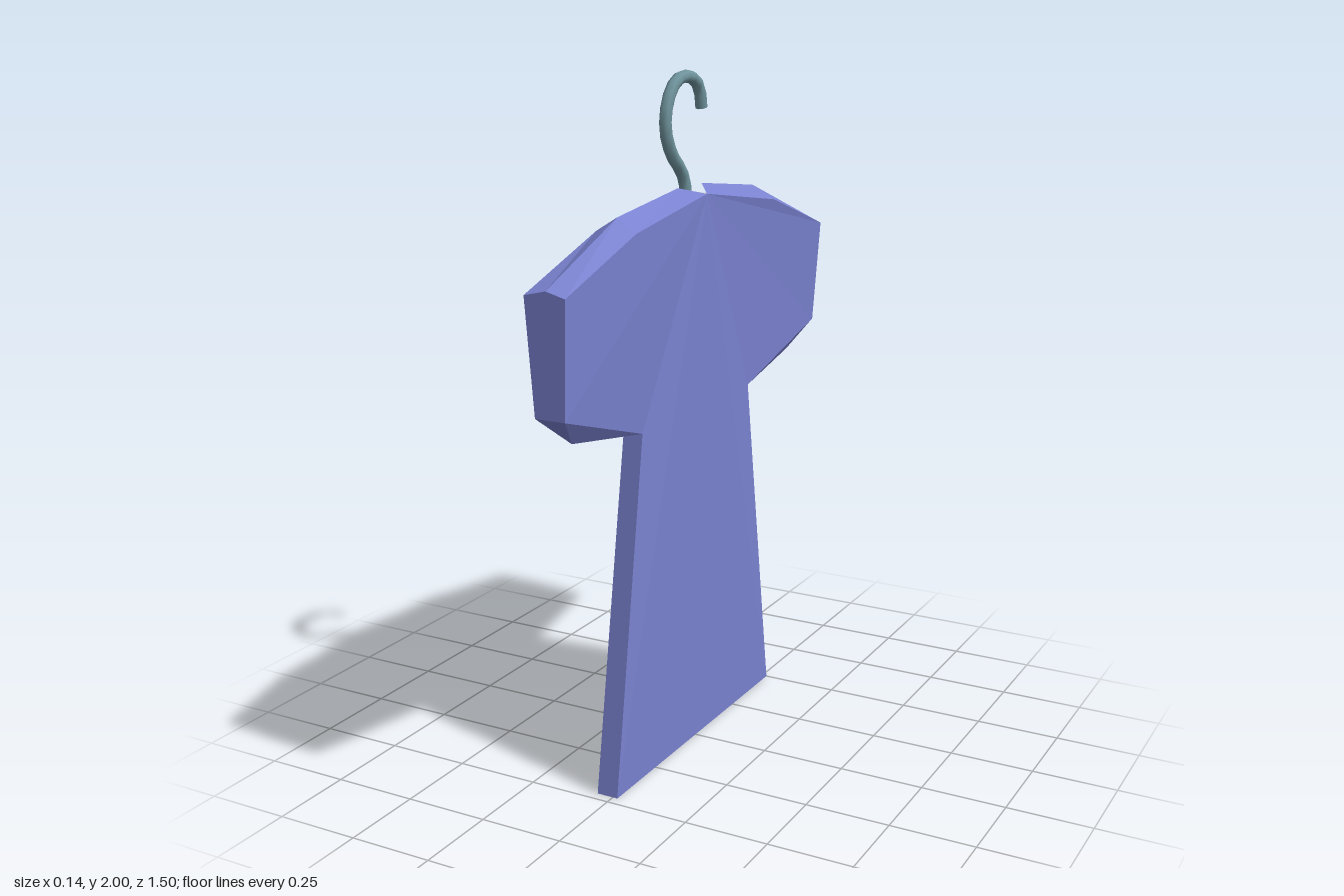
import * as THREE from 'three';

const mat = (color) => new THREE.MeshStandardMaterial({ color, flatShading: true, side: THREE.DoubleSide });

// One half of the shirt: named corners, then polygons as fans of corners
function shirtHalf(s) {
  const ax = s > 0 ? 0.052 : 0.068, hem = s > 0 ? 0.47 : 0.5;
  const arm = s > 0 ? 0.32 : 0.33;
  const P = {
    // plain side
    A0: [0.05, 1.66, 0], A1: [ax, 1.6, 0.4], A2: [ax, 1.485, 0.75], A3: [0.045, 1.17, 0.75],
    A4: [0.02, 1.035, arm], A5: [0.015, 0, hem], A6: [0.015, 0, 0],
    // shoulder ridge and sleeve underside
    R0: [-0.005, 1.68, 0.07], R1: [-0.005, 1.64, 0.4], R2: [-0.005, 1.5, 0.75], U: [0, 1.085, 0.65],
    // side with the V neck
    N: [-0.062, 1.62, 0.25], V: [-0.06, 1.44, 0], B1: [-0.07, 1.6, 0.4], B2: [-0.07, 1.485, 0.75],
    B3: [-0.045, 1.17, 0.75], B4: [-0.04, 1.035, arm], B5: [-0.05, 0, hem], B6: [-0.05, 0, 0],
  };
  const faces = [
    'A0 A1 A2 A3 A4 A5 A6', 'V B6 B5 B4 B3 B2 B1 N',   // large faces
    'A1 A0 R0 R1', 'A2 A1 R1 R2', 'R1 R0 N B1', 'R2 R1 B1 B2', // shoulders
    'A3 A2 R2 B2 B3',                                  // sleeve end
    'B3 U A3', 'A3 U A4', 'B3 B4 U', 'U B4 A4',        // sleeve underside
    'A4 B4 B5 A5', 'A5 B5 B6 A6',                      // body side, hem
    'N A0 V',                                          // neck fold
  ];
  const pos = [];
  for (const f of faces) {
    const c = f.split(' ').map((k) => P[k]);
    for (let i = 1; i < c.length - 1; i++) {
      const tri = s > 0 ? [c[0], c[i], c[i + 1]] : [c[0], c[i + 1], c[i]];
      for (const [x, y, z] of tri) pos.push(x, y, z * s);
    }
  }
  const g = new THREE.BufferGeometry();
  g.setAttribute('position', new THREE.Float32BufferAttribute(pos, 3));
  g.computeVertexNormals();
  return g;
}

// Shape drawn in (z, y), extruded along x
function hangerBar() {
  const top = [[-0.3, 1.595], [-0.25, 1.618], [-0.12, 1.646], [0, 1.658], [0.12, 1.646], [0.25, 1.618], [0.3, 1.595]];
  const under = [...top].reverse().map(([z, y]) => [z, y - 0.035]);
  const shape = new THREE.Shape([...top, ...under].map(([z, y]) => new THREE.Vector2(-z, y)));
  const g = new THREE.ExtrudeGeometry(shape, { depth: 0.085, bevelEnabled: false });
  g.rotateY(Math.PI / 2);
  g.translate(-0.058, 0, 0);
  return g;
}

export function createModel() {
  const model = new THREE.Group();

  const shirt = new THREE.Group();
  shirt.name = 'shirt';
  const cloth = mat(0x7a82d0);
  for (const s of [1, -1]) {
    const half = new THREE.Mesh(shirtHalf(s), cloth);
    half.name = s > 0 ? 'shirtFrontHalf' : 'shirtBackHalf';
    shirt.add(half);
  }
  model.add(shirt);

  const bar = new THREE.Mesh(hangerBar(), mat(0xcccccc));
  bar.name = 'hangerBar';
  model.add(bar);

  // Hook path in (z, y)
  const path = [[0, 1.64], [0, 1.685], [0.025, 1.725], [0.07, 1.765], [0.105, 1.82], [0.112, 1.875],
    [0.09, 1.935], [0.05, 1.972], [0, 1.982], [-0.05, 1.973], [-0.085, 1.945], [-0.098, 1.89]];
  const curve = new THREE.CatmullRomCurve3(path.map(([z, y]) => new THREE.Vector3(-0.02, y, z)));
  const steel = new THREE.MeshStandardMaterial({ color: 0x6f939c });
  const hook = new THREE.Mesh(new THREE.TubeGeometry(curve, 16, 0.018, 8), steel);
  hook.name = 'hook';
  model.add(hook);

  // Cap closing the hook tip
  const cap = new THREE.Mesh(new THREE.CircleGeometry(0.018, 8), steel);
  cap.name = 'hookTip';
  cap.position.copy(curve.getPoint(1));
  cap.lookAt(curve.getPoint(1).add(curve.getTangent(1)));
  model.add(cap);

  return model;
}
